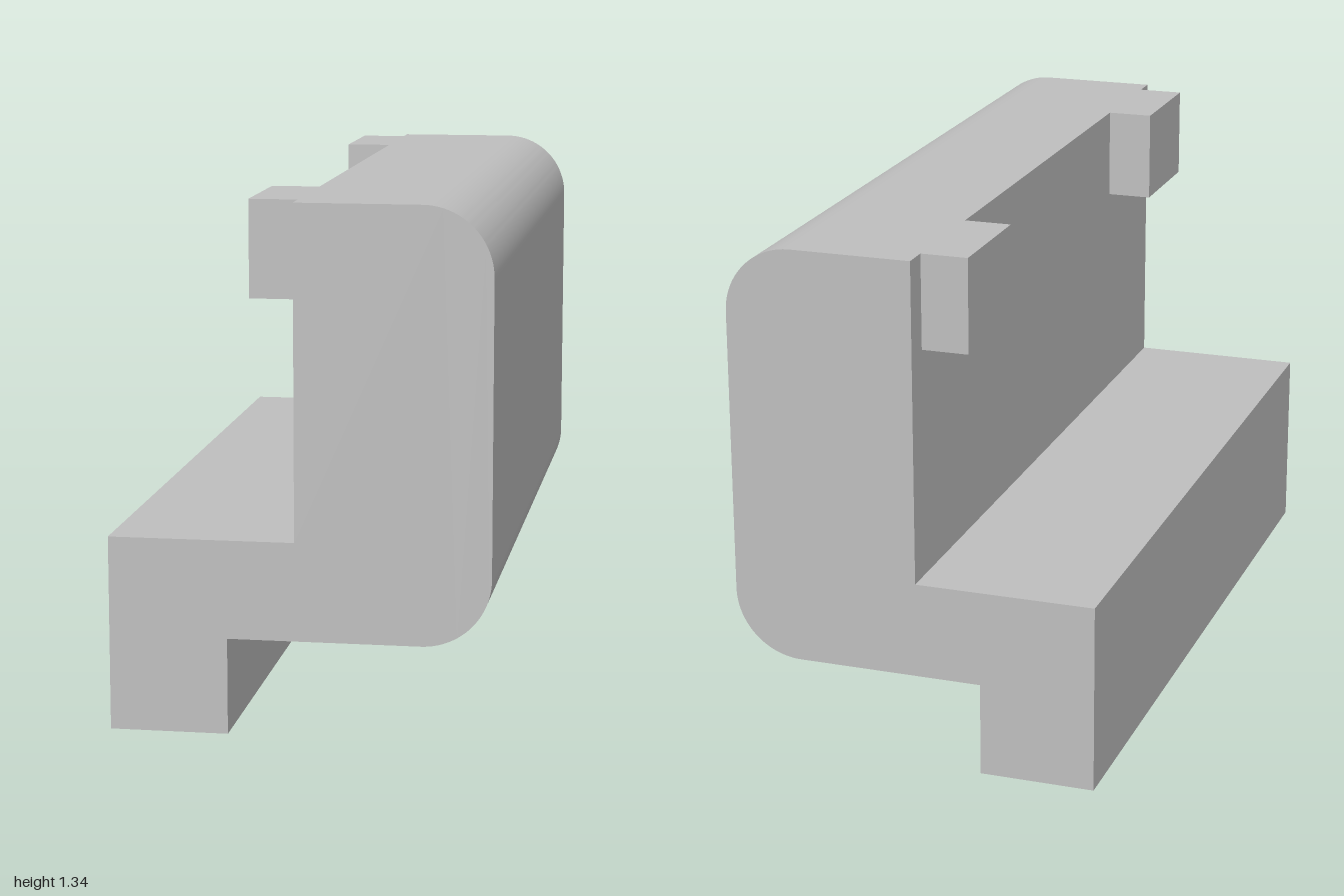
import * as THREE from 'three';
import { toCreasedNormals } from 'three/addons/utils/BufferGeometryUtils.js';

const LENGTH = 2;
const TOP = 1.335;
const WALL_X = -0.01; // inner face of the upright wall

// Cross-section: foot, ledge and upright wall with two rounded outer corners
function railProfile() {
  const right = 0.48, bottom = 0.245, r = 0.175;
  const s = new THREE.Shape();
  s.moveTo(-0.48, 0);
  s.lineTo(-0.18, 0);
  s.lineTo(-0.18, bottom);
  s.lineTo(right - r, bottom);
  s.absarc(right - r, bottom + r, r, -Math.PI / 2, 0, false);
  s.lineTo(right, TOP - r);
  s.absarc(right - r, TOP - r, r, 0, Math.PI / 2, false);
  s.lineTo(WALL_X, TOP);
  s.lineTo(WALL_X, 0.495);
  s.lineTo(-0.48, 0.495);
  s.closePath();
  return s;
}

export function createModel() {
  const model = new THREE.Group();
  model.name = 'railBracket';
  const grey = new THREE.MeshStandardMaterial({ color: 0xbfbfbf });
  grey.name = 'plain grey';

  // Main rail, extruded along z
  const extruded = new THREE.ExtrudeGeometry(railProfile(), {
    depth: LENGTH, bevelEnabled: false, curveSegments: 16,
  });
  extruded.translate(0, 0, -LENGTH / 2);
  const rail = new THREE.Mesh(toCreasedNormals(extruded, 0.5), grey);
  rail.name = 'rail';
  model.add(rail);

  // Retaining tabs at the top of the wall, one near each end
  const width = 0.122, height = 0.245, depth = 0.315;
  const tabGeometry = new THREE.BoxGeometry(width, height, depth);
  for (const [name, side] of [['frontTab', 1], ['backTab', -1]]) {
    const tab = new THREE.Mesh(tabGeometry, grey);
    tab.name = name;
    tab.position.set(WALL_X - width / 2, TOP - height / 2, side * 0.773);
    model.add(tab);
  }
  return model;
}
